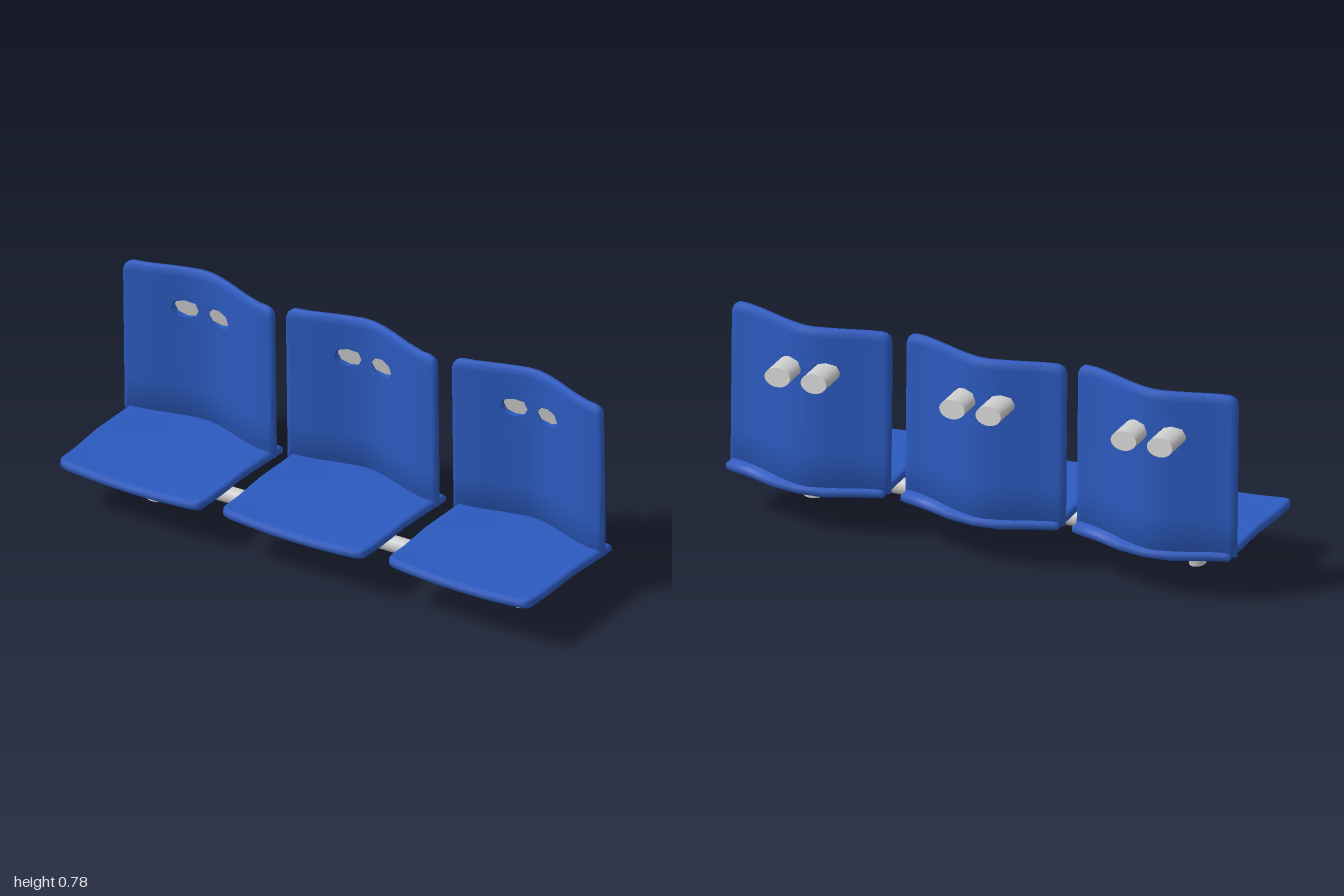
import * as THREE from 'three';
import { toCreasedNormals } from 'three/addons/utils/BufferGeometryUtils.js';

// Linear interpolation through [key, value] pairs
function interp(pts, x) {
  if (x <= pts[0][0]) return pts[0][1];
  for (let i = 1; i < pts.length; i++) {
    const [x0, y0] = pts[i - 1], [x1, y1] = pts[i];
    if (x <= x1) return y0 + (y1 - y0) * (x - x0) / (x1 - x0);
  }
  return pts[pts.length - 1][1];
}

// How far a rounded corner cuts in at x, for an outline ending at +-half
function cornerInset(x, half, r) {
  const d = Math.min(r, Math.max(0, Math.abs(x) - (half - r)));
  return r - Math.sqrt(r * r - d * d);
}

// Thick sheet on a grid: point(i, j, side) gives a vertex, missing(i, j) leaves cells out
function slab(nu, nv, point, missing = () => false) {
  const pos = [], idx = [];
  const id = (i, j, s) => (j * nu + i) * 2 + s;
  for (let j = 0; j < nv; j++)
    for (let i = 0; i < nu; i++) pos.push(...point(i, j, 1), ...point(i, j, -1));
  const quad = (a, b, c, d) => idx.push(a, b, c, a, c, d);
  const gone = (i, j) => i < 0 || j < 0 || i >= nu - 1 || j >= nv - 1 || missing(i, j);
  for (let j = 0; j < nv - 1; j++) {
    for (let i = 0; i < nu - 1; i++) {
      if (gone(i, j)) continue;
      const c = [[i, j], [i + 1, j], [i + 1, j + 1], [i, j + 1]];
      quad(...c.map(([a, b]) => id(a, b, 0)));
      quad(...c.map(([a, b]) => id(a, b, 1)).reverse());
      // Walls wherever the neighbouring cell is absent
      [[0, -1], [1, 0], [0, 1], [-1, 0]].forEach(([di, dj], k) => {
        if (!gone(i + di, j + dj)) return;
        const p = c[k], q = c[(k + 1) % 4];
        quad(id(...p, 0), id(...p, 1), id(...q, 1), id(...q, 0));
      });
    }
  }
  const g = new THREE.BufferGeometry();
  g.setAttribute('position', new THREE.Float32BufferAttribute(pos, 3));
  g.setIndex(idx);
  return toCreasedNormals(g, 1.0);
}

const onRim = (i, j, nu, nv) => i === 0 || j === 0 || i === nu - 1 || j === nv - 1;

// Backrest: bent panel with two oval holes
function backrestGeometry() {
  const xs = [-0.32, -0.312, -0.3, -0.285, -0.24, -0.19, -0.147, -0.097, -0.047, -0.005, 0.045, 0.095,
    0.14, 0.18, 0.25, 0.285, 0.3, 0.312, 0.32];
  const ys = [0.165, 0.174, 0.3, 0.45, 0.53, 0.577, 0.612, 0.647, 0.7, 0.74, 0.764, 0.773];
  const bend = [[-0.32, -0.168], [-0.24, -0.183], [-0.14, -0.215], [-0.06, -0.237], [-0.02, -0.241],
    [0.03, -0.23], [0.08, -0.212], [0.18, -0.168], [0.25, -0.143], [0.32, -0.134]];
  const holeCols = [7, 10], holeRow = 6;
  const point = (i, j, side) => {
    let x = xs[i], y = ys[j];
    for (const h of holeCols) {
      if (Math.abs(i - h) === 1 && Math.abs(j - holeRow) === 1) {
        x = xs[h] + (x - xs[h]) * 0.75;
        y = ys[holeRow] + (y - ys[holeRow]) * 0.75;
      }
    }
    const top = 0.773 - cornerInset(x, 0.32, 0.035);
    if (y > 0.7) y = 0.7 + (y - 0.7) * (top - 0.7) / 0.073;
    const half = onRim(i, j, xs.length, ys.length) ? 0.008 : 0.016;
    const lean = 0.006 * (y - 0.47) / 0.3;
    return [x, y, interp(bend, x) + lean + side * half];
  };
  const missing = (i, j) => (j === holeRow - 1 || j === holeRow)
    && holeCols.some(h => i === h - 1 || i === h);
  return slab(xs.length, ys.length, point, missing);
}

// Seat pan: gently dished and wavy, its rear edge following the backrest
function seatGeometry() {
  const xs = [-0.3, -0.292, -0.28, -0.26, -0.2, -0.1, 0, 0.1, 0.2, 0.26, 0.28, 0.292, 0.3];
  const ts = [1, 0.985, 0.96, 0.92, 0.8, 0.65, 0.5, 0.35, 0.2, 0.1, 0.015, 0];
  const rear = [[-0.3, -0.198], [-0.2, -0.225], [-0.1, -0.263], [-0.02, -0.274], [0.1, -0.255],
    [0.2, -0.22], [0.3, -0.197]];
  const wave = [[-0.27, 0.156], [-0.1, 0.163], [0.05, 0.171], [0.2, 0.165], [0.345, 0.169]];
  const point = (i, j, side) => {
    const x = xs[i], t = ts[j];
    const front = 0.338 + 0.02 * x - cornerInset(x, 0.3, 0.035);
    const back = interp(rear, x);
    const z = back + (front - back) * t;
    const dip = 0.018 * (0.4 + 0.6 * t) * (x / 0.3) ** 2;
    const half = onRim(i, j, xs.length, ts.length) ? 0.009 : 0.017;
    const widen = x > 0 ? 1 + 0.05 * (1 - t) : 1 + 0.015 * (1 - t);
    return [x * widen, interp(wave, z) + dip + side * half, z];
  };
  return slab(xs.length, ts.length, point);
}

// Short oval stub with slanted ends, running back from a hole
function stubGeometry() {
  const g = new THREE.CylinderGeometry(1, 1, 0.115, 28).rotateX(-Math.PI / 2).scale(0.05, 0.034, 1);
  const p = g.attributes.position;
  for (let i = 0; i < p.count; i++) {
    const y = p.getY(i), z = p.getZ(i);
    p.setXYZ(i, p.getX(i), y + z * 0.06, z + y * 0.18);
  }
  g.computeVertexNormals();
  return g;
}

export function createModel() {
  const model = new THREE.Group();
  model.name = 'seatRow';
  const blue = new THREE.MeshStandardMaterial({ color: 0x2c5abf });
  blue.name = 'blue plastic';
  const grey = new THREE.MeshStandardMaterial({ color: 0xcbcbcb });
  grey.name = 'grey metal';
  const add = (parent, name, geo, mat) => {
    const m = new THREE.Mesh(geo, mat);
    m.name = name;
    parent.add(m);
    return m;
  };

  // Three identical chairs
  const back = backrestGeometry(), seat = seatGeometry(), stub = stubGeometry();
  for (const x of [-0.68, -0.007, 0.679]) {
    const chair = new THREE.Group();
    chair.name = 'chair';
    chair.position.x = x;
    add(chair, 'backrest', back, blue);
    add(chair, 'seat', seat, blue);
    for (const sx of [-0.097, 0.045])
      add(chair, 'backStub', stub, grey).position.set(sx, 0.606, -0.28);
    model.add(chair);
  }

  // Support bar bent down to the floor at both ends
  const V = (x, y, z) => new THREE.Vector3(x, y, z);
  const r = 0.031, a = V(-0.724, 0, 0.083), b = V(0.776, 0, 0.056);
  const path = new THREE.CurvePath();
  const p1 = V(-0.63, 0.094, 0.066), p2 = V(0.69, 0.094, 0.066);
  path.add(new THREE.CubicBezierCurve3(a, V(-0.72, 0.055, 0.075), V(-0.69, 0.094, 0.066), p1));
  path.add(new THREE.LineCurve3(p1, p2));
  path.add(new THREE.CubicBezierCurve3(p2, V(0.745, 0.094, 0.066), V(0.772, 0.055, 0.06), b));
  add(model, 'supportBar', new THREE.TubeGeometry(path, 120, r, 20), grey);
  for (const end of [a, b])
    add(model, 'barEnd', new THREE.CircleGeometry(r, 20).rotateX(Math.PI / 2), grey).position.copy(end);
  return model;
}
